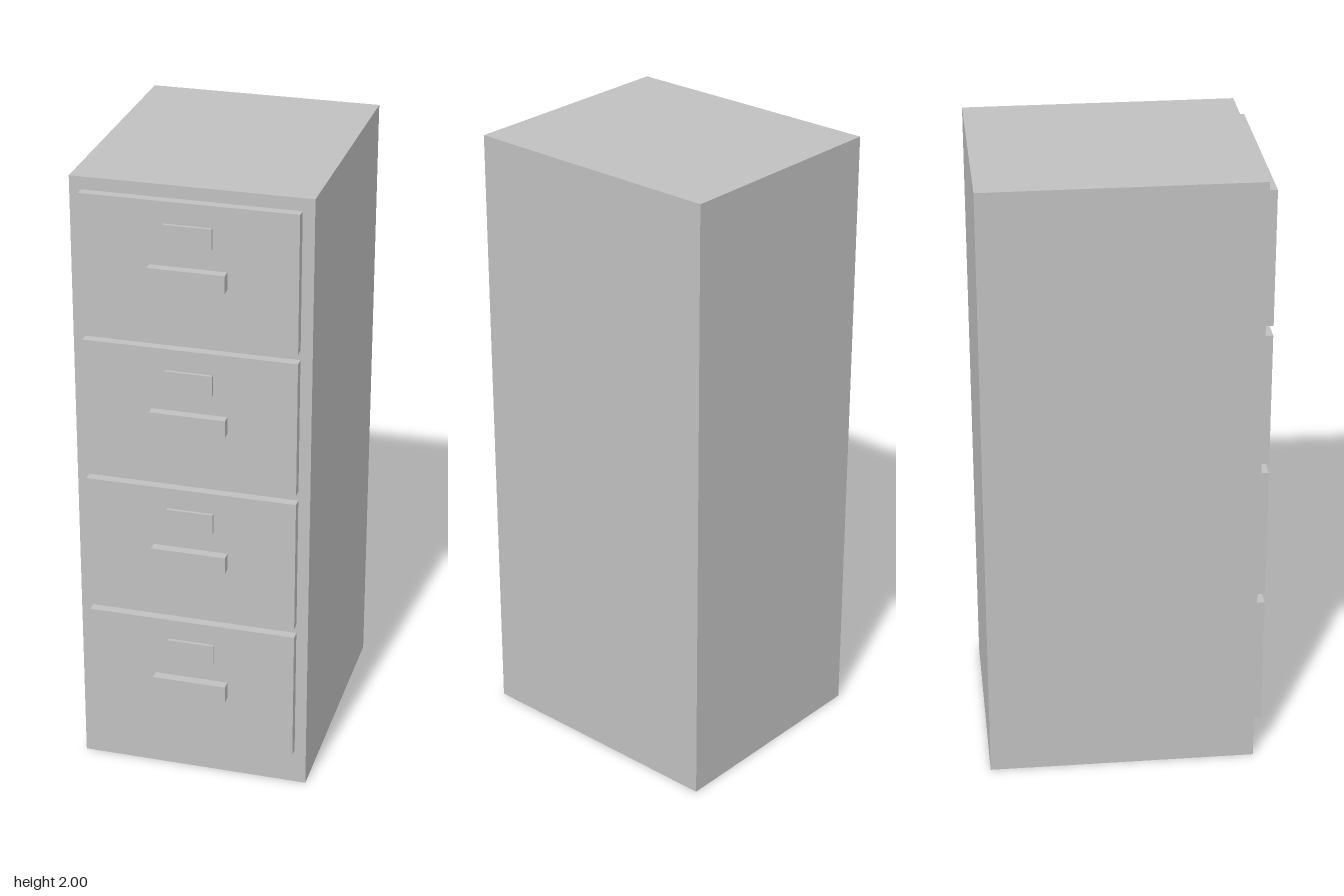
import * as THREE from 'three';

export function createModel() {
  const group = new THREE.Group();
  group.name = 'filingCabinet';
  const metal = new THREE.MeshStandardMaterial({ color: 0xc0c0c0 });
  metal.name = 'grey metal';

  // Box centred on x, placed by its vertical centre and its back and front z
  function addBox(parent, name, width, height, y, back, front) {
    const mesh = new THREE.Mesh(new THREE.BoxGeometry(width, height, front - back), metal);
    mesh.name = name;
    mesh.position.set(0, y, (back + front) / 2);
    parent.add(mesh);
  }

  // Cabinet body
  addBox(group, 'body', 0.74, 2, 1, -0.46, 0.4);

  // Four drawers, each with a label holder and a pull
  for (let i = 0; i < 4; i++) {
    const drawer = new THREE.Group();
    drawer.name = 'drawer' + (i + 1);
    drawer.position.y = 0.338 + i * 0.468;
    addBox(drawer, 'drawerFront', 0.666, 0.436, 0, 0.4, 0.43);
    addBox(drawer, 'labelHolder', 0.147, 0.065, 0.117, 0.43, 0.44);
    addBox(drawer, 'handle', 0.237, 0.055, -0.01, 0.43, 0.46);
    group.add(drawer);
  }
  return group;
}
